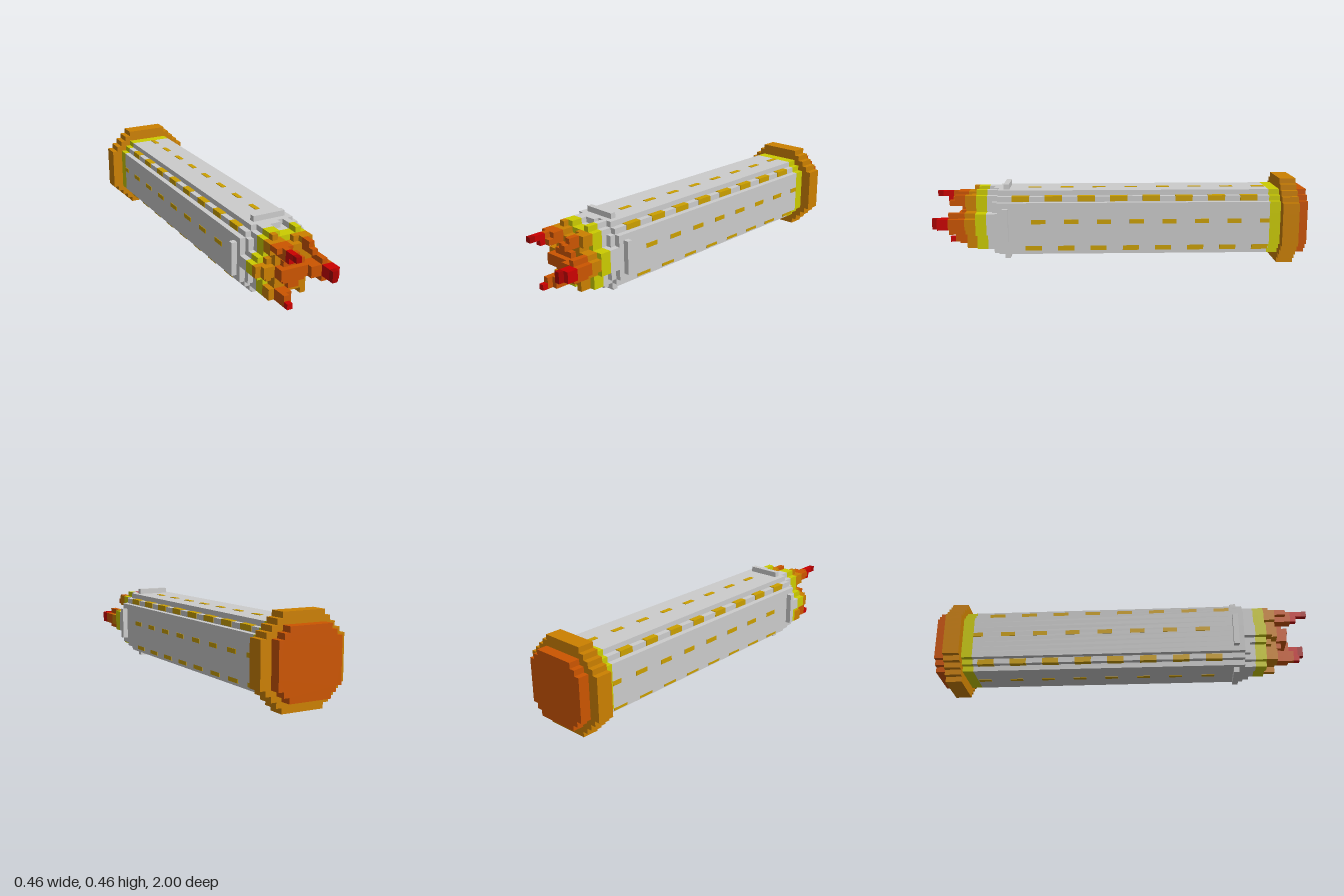
import * as THREE from 'three';
import { mergeGeometries } from 'three/addons/utils/BufferGeometryUtils.js';

const U = 2 / 69; // one block
const Z = (k) => k * U - 1; // block layer counted from the back

const mat = (name, color) => {
  const m = new THREE.MeshStandardMaterial({ color });
  m.name = name;
  return m;
};

// box between block coordinates
function block(x0, x1, y0, y1, z0, z1) {
  const g = new THREE.BoxGeometry((x1 - x0) * U, (y1 - y0) * U, (z1 - z0) * U);
  g.translate(((x0 + x1) / 2) * U, ((y0 + y1) / 2) * U, Z((z0 + z1) / 2));
  return g;
}

// stepped disc: half widths per row, starting at row y0, extruded from z0 to z1
function steppedDisc(halfWidths, y0, z0, z1) {
  const right = [];
  halfWidths.forEach((w, i) => right.push([w, y0 + i], [w, y0 + i + 1]));
  const left = right.map(([x, y]) => [-x, y]).reverse();
  const pts = [...right, ...left].map(([x, y]) => new THREE.Vector2(x * U, y * U));
  const g = new THREE.ExtrudeGeometry(new THREE.Shape(pts), {
    depth: (z1 - z0) * U, bevelEnabled: false,
  });
  g.translate(0, 0, Z(z0));
  return g;
}

const TUBE = [4, 5, 6, 6, 6, 6, 6, 6, 6, 6, 5, 4];
const FLANGE = [4, 5, 6, 7, 8, 8, 8, 8, 8, 8, 8, 8, 7, 6, 5, 4];

// ragged front end, top row first: each letter gives how far a column reaches
const REACH = { ' ': 0, s: 57, g: 58, y: 61, o: 62, O: 63, d: 64, D: 65, E: 66, b: 67, r: 68, R: 69 };
const FRONT = [
  '  soyggsys  ',
  ' sDRDyyoDOs ',
  'sgObEOOOEOgs',
  'sgyOOddOOygs',
  'syoOddddOOEy',
  'oOODDDDDEERr',
  'oOODDDDDEERr',
  'syoOddddOOEy',
  'sgyOOddOOygs',
  'sgOEDOOOOygs',
  ' sObDyyyOys ',
  '  syyggggs  ',
];

export function createModel() {
  const model = new THREE.Group();
  const grey = mat('grey', 0xcccccc);
  const yellow = mat('yellow', 0xcccc00);
  const orange = mat('orange', 0xcc8000);
  const deepOrange = mat('deep orange', 0xcc5500);
  const red = mat('red', 0xcc0000);
  const darkRed = mat('dark red', 0xaa0000);
  const amber = mat('amber', 0xcca000);

  const add = (name, geometry, material) => {
    const m = new THREE.Mesh(geometry, material);
    m.name = name;
    model.add(m);
  };

  // rear end and tube
  add('rearDisc', steppedDisc(TUBE, 2, 0, 2), deepOrange);
  add('rearFlange', steppedDisc(FLANGE, 0, 2, 5), orange);
  add('rearBand', steppedDisc(TUBE, 2, 5, 7), yellow);
  add('tube', steppedDisc(TUBE, 2, 7, 57), grey);

  // four raised bars around the tube
  add('collar', mergeGeometries([
    block(-3, 3, 14, 15, 55, 56), block(-3, 3, 1, 2, 55, 56),
    block(-7, -6, 5, 11, 55, 56), block(6, 7, 5, 11, 55, 56),
  ]), grey);

  // ragged burning front, one colour per band of layers
  const bands = [
    ['frontRim', 57, 59, grey], ['frontBand', 59, 61, yellow],
    ['flameBase', 61, 63, orange], ['flameMiddle', 63, 66, deepOrange],
    ['flameTips', 66, 68, red], ['flamePoints', 68, 69, darkRed],
  ];
  for (const [name, z0, z1, material] of bands) {
    const parts = [];
    for (let z = z0; z < z1; z++) {
      FRONT.forEach((row, r) => {
        let start = -1;
        for (let i = 0; i <= 12; i++) {
          const full = i < 12 && REACH[row[i]] > z;
          if (full && start < 0) start = i;
          if (!full && start >= 0) {
            parts.push(block(start - 6, i - 6, 13 - r, 14 - r, z, z + 1));
            start = -1;
          }
        }
      });
    }
    add(name, mergeGeometries(parts), material);
  }

  // rows of dashes: cell bounds, foremost centre z, length
  const t = 0.1; // how far a dash stands out, in blocks
  const dashRows = [
    ['topDashes', 0, 0.85, 13.9, 14 + t, 0.46, 2.4],
    ['bottomDashes', 0, 0.85, 2 - t, 2.1, 0.46, 2.4],
    ['leftDashes', 5.9, 6 + t, 8.1, 8.9, 0.435, 2.6],
    ['rightDashes', -6 - t, -5.9, 8.1, 8.9, 0.435, 2.6],
    ['upperLeftDashes', 4, 5 + t, 12.1, 13 + t, 0.53, 3.2],
    ['upperRightDashes', -5 - t, -4, 12.1, 13 + t, 0.54, 2.8],
    ['lowerLeftDashes', 4, 5 + t, 3 - t, 3.9, 0.465, 3],
    ['lowerRightDashes', -5 - t, -4, 3 - t, 3.9, 0.49, 3],
  ];
  for (const [name, x0, x1, y0, y1, z, len] of dashRows) {
    const parts = [];
    for (let i = 0; i < 8; i++) {
      const c = (z + 1) / U - i * 6;
      parts.push(block(x0, x1, y0, y1, Math.max(c - len / 2, 7), c + len / 2));
    }
    add(name, mergeGeometries(parts), amber);
  }
  return model;
}
